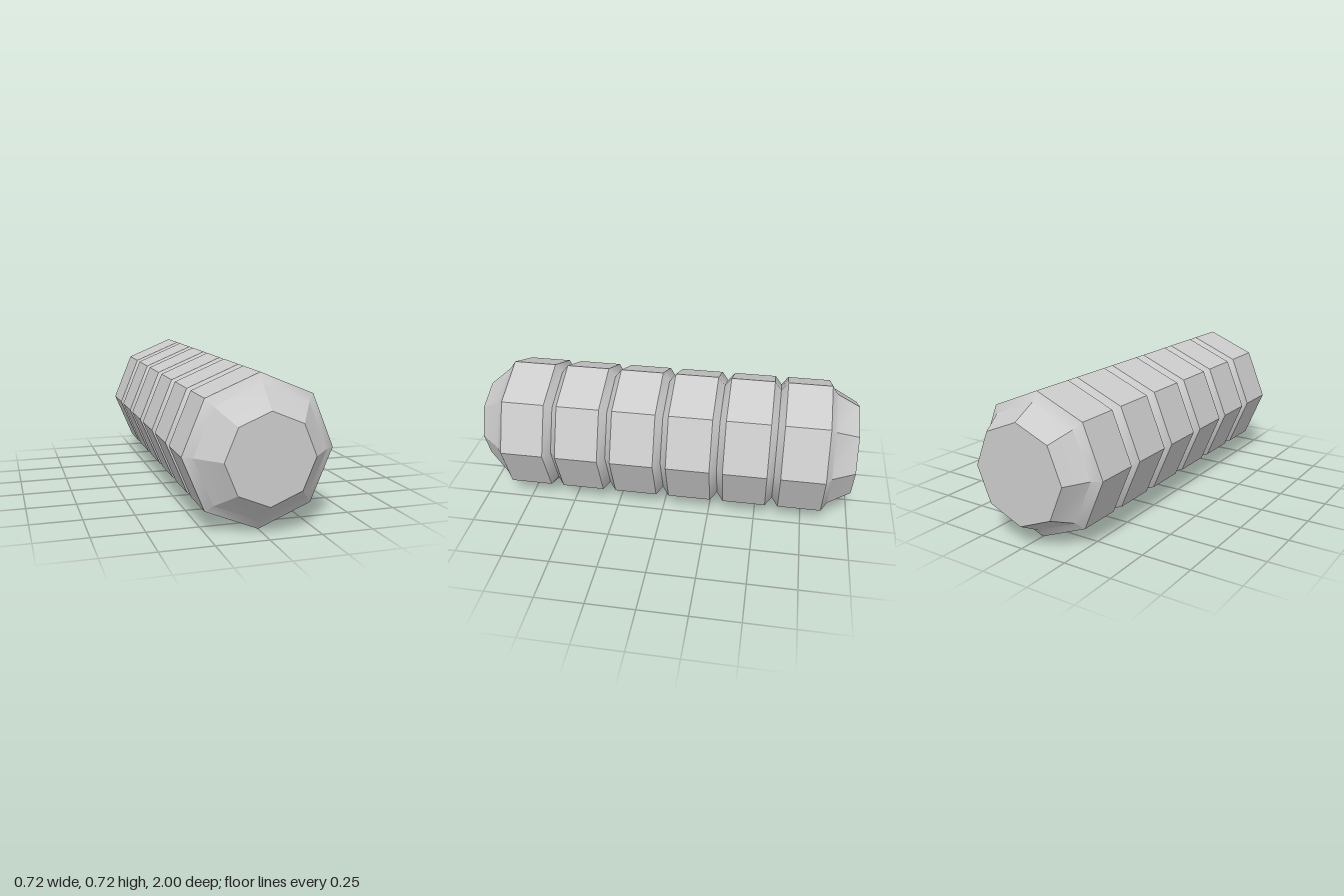
import * as THREE from 'three';
import { toCreasedNormals } from 'three/addons/utils/BufferGeometryUtils.js';

const SIDES = 8, RADIUS = 0.36, GROOVE = 0.315;
const RIDGES = 6, PITCH = 0.2948, HALF = 0.113;

export function createModel() {
  const group = new THREE.Group();
  const material = new THREE.MeshStandardMaterial({ color: 0xcccccc });

  // Profile from back to front: radius, position along the axis
  const profile = [[0, -1], [0.25, -1], [GROOVE, -0.88]];
  for (let i = 0; i < RIDGES; i++) {
    const c = (i - (RIDGES - 1) / 2) * PITCH;
    profile.push([RADIUS, c - HALF], [RADIUS, c + HALF]);
    // V-shaped groove between neighbouring ridges
    if (i < RIDGES - 1) profile.push([GROOVE, c + PITCH / 2]);
  }
  profile.push([GROOVE, 0.882], [0.212, 1], [0, 1]);

  // Octagonal ribbed grip, lying along z
  const lathe = new THREE.LatheGeometry(profile.map(([r, z]) => new THREE.Vector2(r, z)), SIDES);
  lathe.rotateX(Math.PI / 2);
  lathe.translate(0, RADIUS, 0);
  const grip = new THREE.Mesh(toCreasedNormals(lathe, Math.PI / 6), material);
  grip.name = 'ribbedGrip';
  group.add(grip);

  return group;
}
